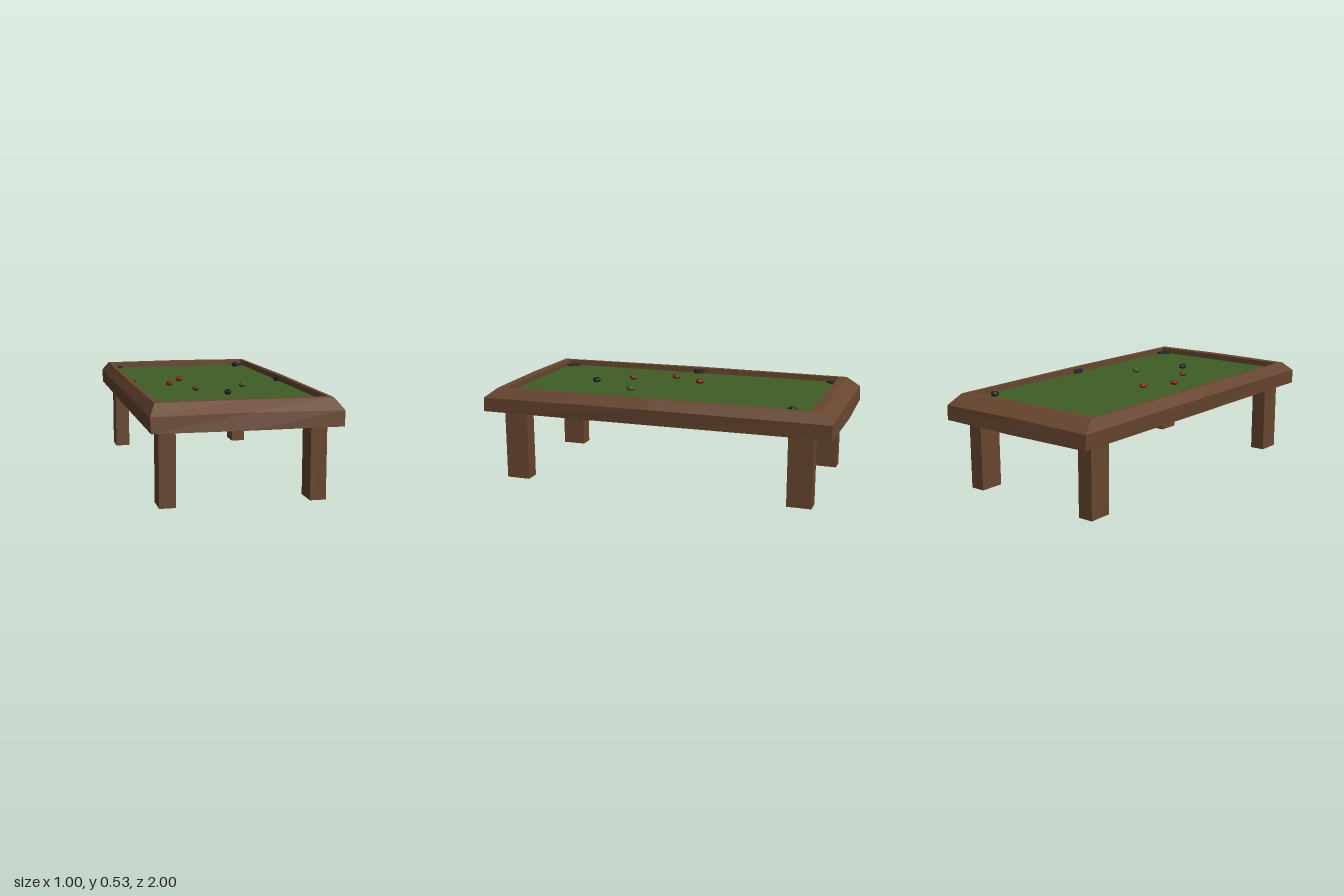
import * as THREE from 'three';

const FELT_Y = 0.5;

const material = (name, color) => {
  const m = new THREE.MeshStandardMaterial({ color, flatShading: true });
  m.name = name;
  return m;
};

// Eight points round the table: corners plus slightly bowed side middles
function ring(cx, cz, mx, mz, y, my = y) {
  return [
    [cx, y, cz], [mx, my, 0], [cx, y, -cz], [0, my, -mz],
    [-cx, y, -cz], [-mx, my, 0], [-cx, y, cz], [0, my, mz],
  ];
}

// Skin joining successive rings, closed underneath by a shallow point
function frameGeometry(rings, apex) {
  const p = [];
  const tri = (...pts) => pts.forEach((v) => p.push(...v));
  for (let i = 0; i < 8; i++) {
    const j = (i + 1) % 8;
    tri(apex, rings[0][j], rings[0][i]);
    for (let k = 0; k < rings.length - 1; k++) {
      const a = rings[k], b = rings[k + 1];
      tri(a[i], a[j], b[j]);
      tri(a[i], b[j], b[i]);
    }
  }
  const g = new THREE.BufferGeometry();
  g.setAttribute('position', new THREE.Float32BufferAttribute(p, 3));
  g.computeVertexNormals();
  return g;
}

export function createModel() {
  const group = new THREE.Group();
  const wood = material('wood', 0x68462f);
  const felt = material('felt', 0x3f5d25);
  const dark = material('pocketBlack', 0x25272b);
  const black = material('ballBlack', 0x1c1d20);
  const red = material('ballRed', 0x84200f);
  const maroon = material('ballMaroon', 0x6e3028);
  const green = material('ballGreen', 0x365a24);

  const add = (name, geometry, mat, x = 0, y = 0, z = 0) => {
    const mesh = new THREE.Mesh(geometry, mat);
    mesh.name = name;
    mesh.position.set(x, y, z);
    group.add(mesh);
    return mesh;
  };

  // Wooden body: apron, sloping rail, flat rim and inner wall
  add('frame', frameGeometry([
    ring(0.485, 0.99, 0.488, 1.0, 0.395),
    ring(0.489, 0.985, 0.499, 0.99, 0.475, 0.482),
    ring(0.455, 0.91, 0.462, 0.915, 0.531, 0.534),
    ring(0.435, 0.865, 0.435, 0.865, 0.531, 0.533),
    ring(0.435, 0.865, 0.435, 0.865, FELT_Y - 0.005),
  ], [0, 0.373, 0]), wood);

  // Playing surface
  const cloth = new THREE.PlaneGeometry(0.87, 1.73);
  cloth.rotateX(-Math.PI / 2);
  add('playingSurface', cloth, felt, 0, FELT_Y, 0);

  // Legs
  for (const sx of [-1, 1]) for (const sz of [-1, 1]) {
    add('leg', new THREE.BoxGeometry(0.085, 0.395, 0.135), wood, sx * 0.389, 0.1975, sz * 0.818);
  }

  // Corner pockets: square patches with a cut inner corner
  const cut = new THREE.Shape([[0, 0], [0.062, 0], [0.062, 0.03], [0.03, 0.065], [0, 0.065]]
    .map(([x, y]) => new THREE.Vector2(x, y)));
  for (let i = 0; i < 4; i++) {
    const sx = i % 2 ? 1 : -1, sz = i < 2 ? 1 : -1;
    const pts = cut.getPoints().map((v) => new THREE.Vector2(-sx * v.x, sz * v.y));
    const g = new THREE.ExtrudeGeometry(new THREE.Shape(pts), { depth: 0.009, bevelEnabled: false });
    g.rotateX(-Math.PI / 2);
    add('cornerPocket', g, dark, sx * 0.434, FELT_Y, sz * 0.864);
  }

  // Side pockets: half discs against the long rails
  for (const s of [-1, 1]) {
    const g = new THREE.CylinderGeometry(0.034, 0.034, 0.022, 8, 1, false, s > 0 ? Math.PI : 0, Math.PI);
    g.scale(0.65, 1, 1);
    add('sidePocket', g, dark, s * 0.434, FELT_Y + 0.011, 0);
  }

  // Balls
  const ball = new THREE.SphereGeometry(0.02, 8, 6);
  ball.scale(1, 0.75, 1.3);
  for (const [mat, x, z] of [
    [black, 0.365, -0.755], [red, -0.14, -0.095], [red, -0.23, 0.08],
    [green, 0.16, 0.225], [maroon, -0.125, 0.315], [black, 0.01, 0.497],
  ]) add('ball', ball, mat, x, FELT_Y + 0.014, z);

  return group;
}
